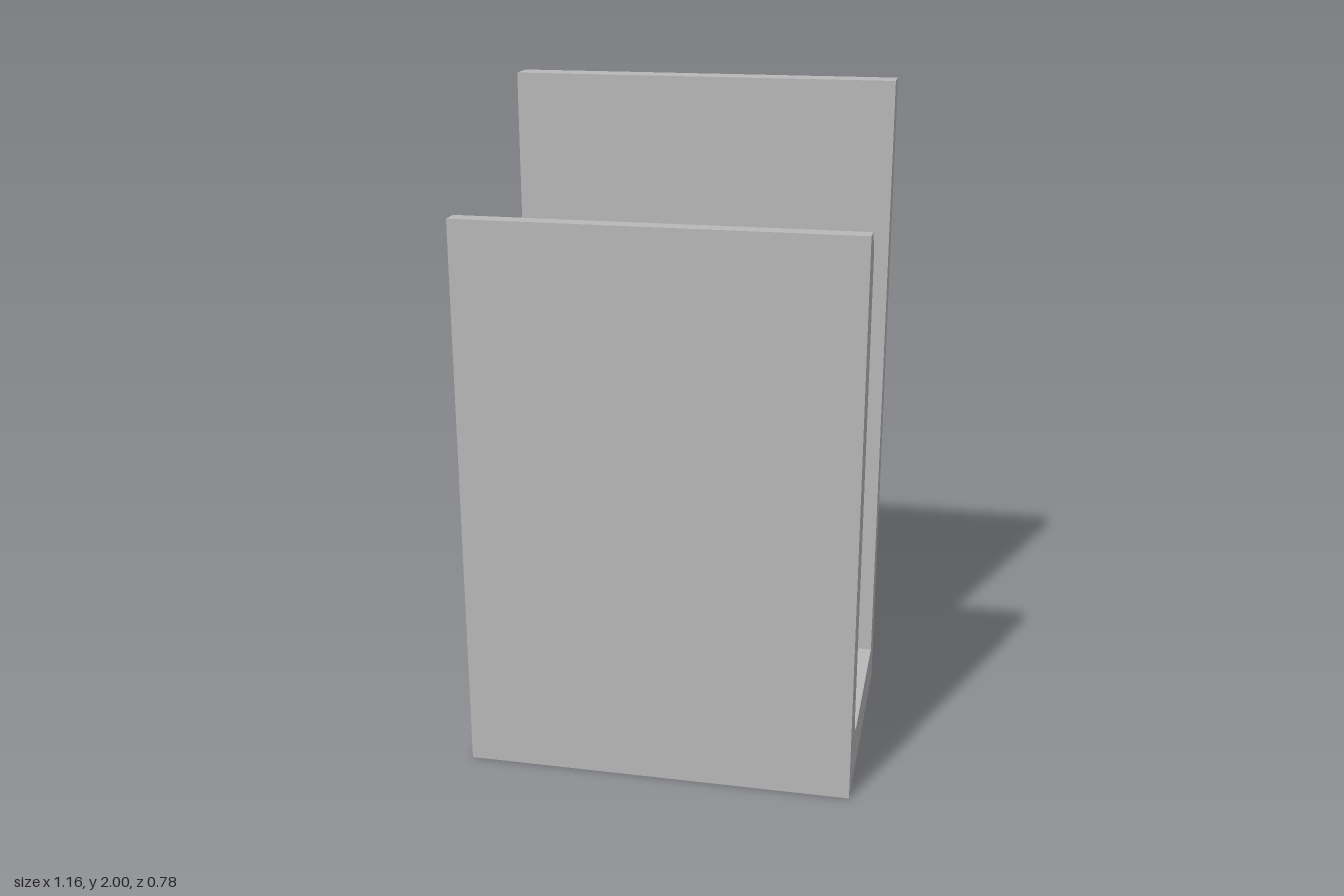
import * as THREE from 'three';

export function createModel() {
  const group = new THREE.Group();
  group.name = 'channelBracket';

  const grey = new THREE.MeshStandardMaterial({ color: 0xb8b8b8 });
  grey.name = 'plain grey';

  // Side profile as (z, y): tall back wall, floor, shorter front wall with chamfers
  const profile = [
    [-0.39, 0], [0.39, 0],
    [0.39, 1.68], [0.335, 1.68], [0.28, 1.62], // front wall, bevelled inner lip
    [0.28, 0.185], [0.235, 0.14],              // inner corner chamfer
    [-0.3, 0.14], [-0.3, 2], [-0.39, 2],       // floor and back wall
  ];
  const shape = new THREE.Shape(profile.map(([z, y]) => new THREE.Vector2(z, y)));

  // Sweep the profile across the width
  const width = 1.16;
  const geometry = new THREE.ExtrudeGeometry(shape, { depth: width, bevelEnabled: false });
  geometry.translate(0, 0, -width / 2);
  geometry.rotateY(-Math.PI / 2);

  const channel = new THREE.Mesh(geometry, grey);
  channel.name = 'channel';
  group.add(channel);
  return group;
}
